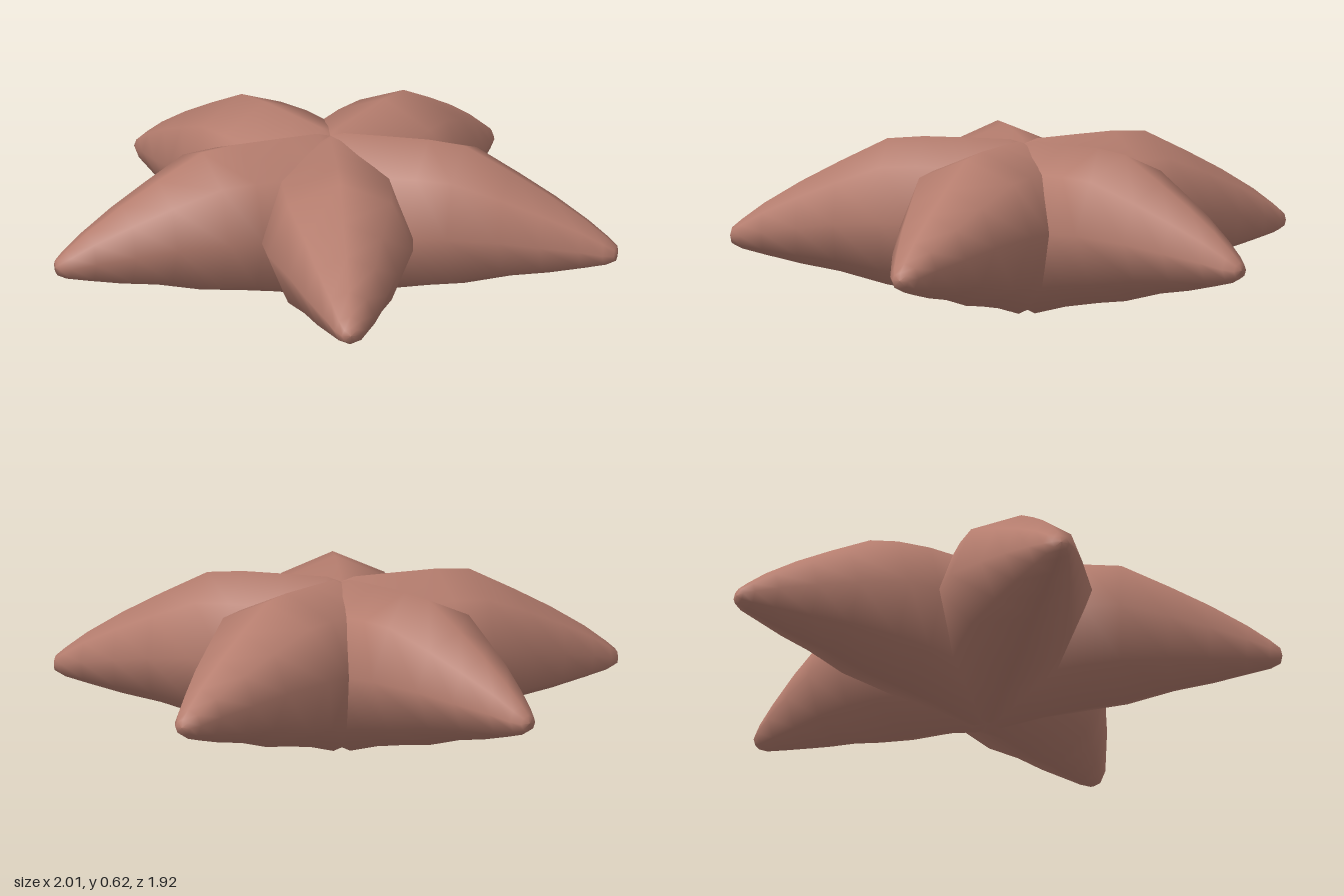
import * as THREE from 'three';

const ARMS = 5;
const SIDES = 8;
const HUB_Z = -0.1;

// Arm cross-sections from hub to tip: [distance, half width, top y, bottom y]
const RINGS = [
  [0, 0.27, 0.605, 0.02],
  [0.05, 0.27, 0.62, 0],
  [0.2, 0.27, 0.623, 0.04],
  [0.36, 0.27, 0.625, 0.07],
  [0.49, 0.26, 0.615, 0.09],
  [0.66, 0.195, 0.53, 0.135],
  [0.8, 0.145, 0.455, 0.16],
  [0.93, 0.09, 0.375, 0.19],
  [1.01, 0.056, 0.315, 0.21],
  [1.045, 0.032, 0.285, 0.228],
  [1.052, 0, 0.257, 0.257],
];

// Eight-sided tapering arm along +z, smoothly shaded
function armGeometry() {
  const positions = [];
  const index = [];
  RINGS.forEach(([r, w, top, bottom], i) => {
    const mid = (top + bottom) / 2;
    const h = (top - bottom) / 2;
    for (let j = 0; j < SIDES; j++) {
      const a = (j / SIDES) * Math.PI * 2;
      positions.push(w * Math.sin(a), mid + h * Math.cos(a), r);
      if (i === RINGS.length - 1) continue;
      const p = i * SIDES + j;
      const q = i * SIDES + ((j + 1) % SIDES);
      index.push(p, p + SIDES, q);
      // The last band closes to a point, so it needs one triangle per side
      if (i < RINGS.length - 2) index.push(q, p + SIDES, q + SIDES);
    }
  });
  const geometry = new THREE.BufferGeometry();
  geometry.setAttribute('position', new THREE.Float32BufferAttribute(positions, 3));
  geometry.setIndex(index);
  geometry.computeVertexNormals();
  return geometry;
}

export function createModel() {
  const model = new THREE.Group();
  model.name = 'starfish';
  const skin = new THREE.MeshStandardMaterial({ color: 0xb57d6e });
  const geometry = armGeometry();

  // Five equal arms overlap at the hub
  for (let i = 0; i < ARMS; i++) {
    const arm = new THREE.Mesh(geometry, skin);
    arm.name = `arm${i + 1}`;
    arm.position.z = HUB_Z;
    arm.rotation.y = (i / ARMS) * Math.PI * 2;
    model.add(arm);
  }
  return model;
}
